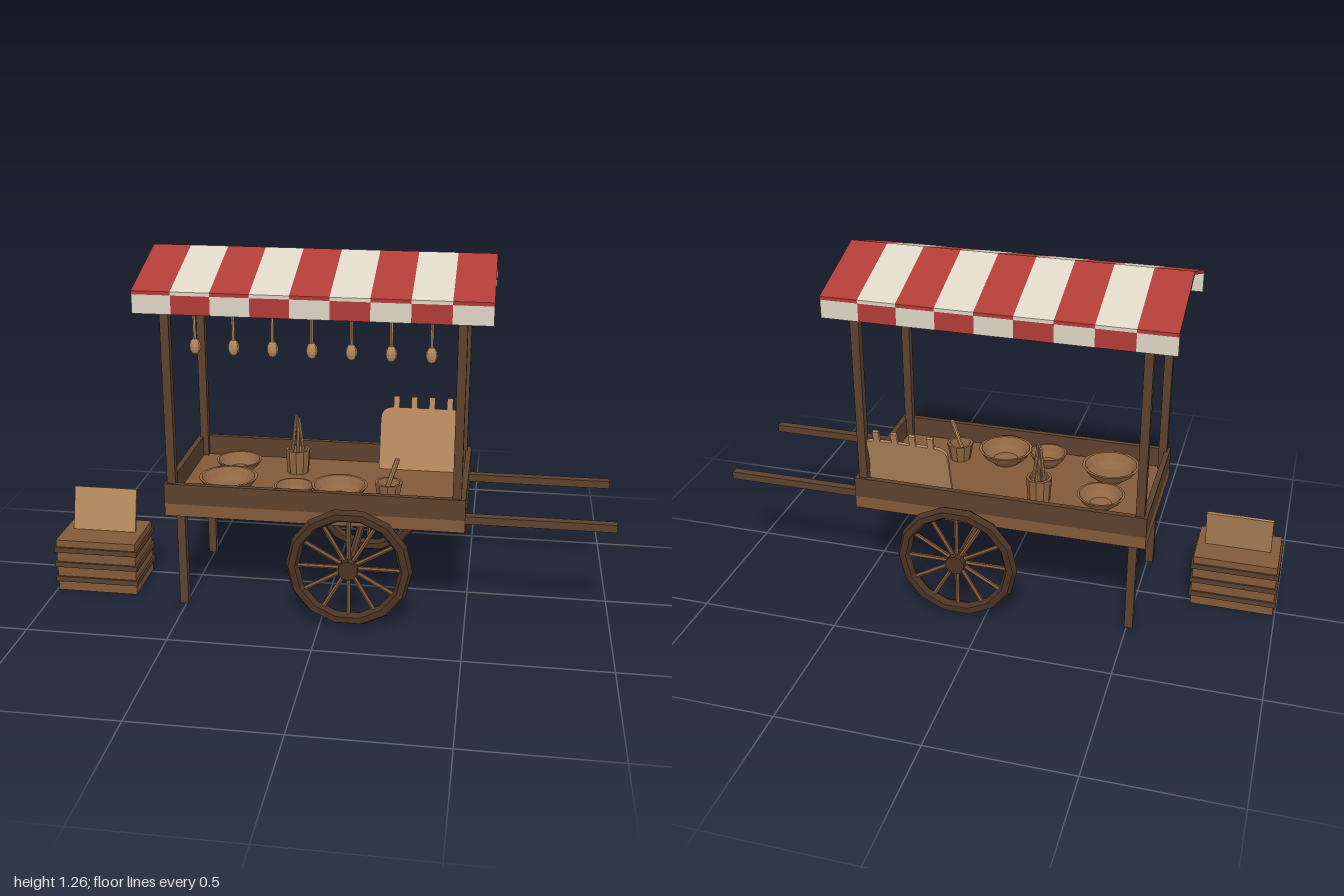
import * as THREE from 'three';

const mat = (name, color) => {
  const m = new THREE.MeshStandardMaterial({ color });
  m.name = name;
  return m;
};

export function createModel() {
  const dark = mat('dark wood', 0x5c412d);
  const rimWood = mat('rim wood', 0x4a3323);
  const wood = mat('brown wood', 0x835a39);
  const light = mat('light wood', 0xb5895d);
  const red = mat('red cloth', 0xb03c36);
  const cream = mat('cream cloth', 0xddd5c5);
  const inside = mat('bowl wood', 0x916642);
  inside.side = THREE.DoubleSide;

  const model = new THREE.Group();
  const group = (name, parent = model) => {
    const g = new THREE.Group();
    g.name = name;
    parent.add(g);
    return g;
  };
  const add = (name, geo, m, [x, y, z] = [0, 0, 0], parent = model) => {
    const mesh = new THREE.Mesh(geo, m);
    mesh.name = name;
    mesh.position.set(x, y, z);
    parent.add(mesh);
    return mesh;
  };
  // box given by its min and max corners
  const box = (name, m, a, b, parent = model) =>
    add(name, new THREE.BoxGeometry(b[0] - a[0], b[1] - a[1], b[2] - a[2]), m,
      a.map((v, i) => (v + b[i]) / 2), parent);
  const facet = (geo) => {
    const g = geo.index ? geo.toNonIndexed() : geo;
    g.computeVertexNormals();
    return g;
  };
  // round rod between two points
  const rod = (name, m, a, b, r, parent = model, sides = 8) => {
    const p = new THREE.Vector3(...a), d = new THREE.Vector3(...b).sub(p);
    const mesh = add(name, facet(new THREE.CylinderGeometry(r, r, d.length(), sides)), m,
      p.clone().addScaledVector(d, 0.5).toArray(), parent);
    mesh.quaternion.setFromUnitVectors(new THREE.Vector3(0, 1, 0), d.normalize());
    return mesh;
  };

  // cart bed with raised walls
  const bed = group('cartBed');
  box('bedBase', wood, [-0.555, 0.355, -0.262], [0.49, 0.4, 0.262], bed);
  for (const s of [-1, 1]) {
    add('sideWall', new THREE.BoxGeometry(1.045, 0.074, 0.02), dark, [-0.0325, 0.437, s * 0.252], bed);
    add('endWall', new THREE.BoxGeometry(0.02, 0.074, 0.484), dark, [-0.0325 + s * 0.5125, 0.437, 0], bed);
  }

  // legs, posts and push handles, mirrored front to back
  for (const s of [-1, 1]) {
    add('leg', new THREE.BoxGeometry(0.03, 0.355, 0.03), dark, [-0.507, 0.1775, s * 0.218], model);
    for (const x of [-0.53, 0.46])
      add('post', new THREE.BoxGeometry(0.03, 0.765, 0.03), dark, [x, 0.7825, s * 0.238]);
    add('pushHandle', new THREE.BoxGeometry(0.53, 0.028, 0.03), dark, [0.735, 0.38, s * 0.197]);
  }
  box('hangingBeam', dark, [-0.545, 1.145, 0.224], [0.475, 1.165, 0.258]);

  // wheels and axle
  const wheelY = 0.22, wheelX = 0.1;
  rod('axle', dark, [wheelX, wheelY, -0.33], [wheelX, wheelY, 0.33], 0.014);
  for (const s of [-1, 1]) {
    const wheel = group('wheel');
    wheel.position.set(wheelX, wheelY, s * 0.307);
    add('rim', facet(new THREE.TorusGeometry(0.197, 0.023, 6, 14)), rimWood, [0, 0, 0], wheel);
    rod('hub', rimWood, [0, 0, -0.03], [0, 0, 0.03], 0.035, wheel, 10);
    for (let i = 0; i < 12; i++) {
      const a = (i * Math.PI) / 6;
      rod('spoke', wood, [0.03 * Math.cos(a), 0.03 * Math.sin(a), 0],
        [0.185 * Math.cos(a), 0.185 * Math.sin(a), 0], 0.008, wheel, 6);
    }
  }

  // striped gable awning with a checked valance
  const awning = group('awning');
  const gable = new THREE.Shape([[-0.295, 1.152], [0, 1.25], [0.295, 1.152], [0.295, 1.164], [0, 1.262],
    [-0.295, 1.164]].map((p) => new THREE.Vector2(...p)));
  const x0 = -0.625, stripe = 1.183 / 9;
  for (let i = 0; i < 9; i++) {
    const x = x0 + i * stripe;
    const slab = new THREE.ExtrudeGeometry(gable, { depth: stripe, bevelEnabled: false });
    add('roofStripe', slab, i % 2 ? cream : red, [x, 0, 0], awning).rotation.y = Math.PI / 2;
    for (const s of [-1, 1])
      add('valanceFlap', new THREE.BoxGeometry(stripe, 0.068, 0.009), i % 2 ? red : cream,
        [x + stripe / 2, 1.121, s * 0.288], awning);
  }

  // ladles hanging along the front beam
  for (let i = 0; i < 7; i++) {
    const ladle = group('ladle');
    ladle.position.set(-0.43 + i * 0.1317, 0, 0.238);
    rod('ladleHandle', light, [0, 0.985, 0], [0, 1.15, 0], 0.006, ladle, 6);
    const bowl = add('ladleBowl', facet(new THREE.SphereGeometry(0.02, 10, 8)), light, [0, 0.968, 0], ladle);
    bowl.scale.set(1, 1.4, 0.7);
  }

  // open bowls on the bed
  const bowls = [[-0.36, 0.11, 0.105, 0.055], [-0.364, -0.09, 0.085, 0.045],
    [0.044, 0.132, 0.1, 0.055], [-0.115, 0.15, 0.07, 0.05]];
  for (const [x, z, r, h] of bowls) {
    const profile = [[0, 0.002], [0.5, 0.002], [0.82, 0.5], [1, 1], [0.9, 1], [0.72, 0.55], [0.45, 0.2], [0, 0.2]]
      .map(([u, v]) => new THREE.Vector2(u * r, v * h));
    add('bowl', facet(new THREE.LatheGeometry(profile, 16)), inside, [x, 0.4, z]);
  }

  // cup helper shared by the utensil holder and the mortar
  const cup = (name, x, z, r0, r1, h) => {
    const profile = [[0, 0.001], [r0, 0.001], [r1, h], [r1 - 0.01, h], [r0 - 0.01, h * 0.4], [0, h * 0.4]]
      .map((p) => new THREE.Vector2(...p));
    add(name, facet(new THREE.LatheGeometry(profile, 10)), inside, [x, 0.4, z]);
  };
  cup('utensilHolder', -0.145, -0.108, 0.04, 0.046, 0.09);
  for (let i = -1; i <= 1; i++)
    rod('utensil', light, [-0.145 + i * 0.028, 0.44, -0.108 + i * 0.016],
      [-0.145 + i * 0.008, 0.613, -0.108 + i * 0.016], 0.006);
  cup('mortar', 0.215, 0.11, 0.038, 0.05, 0.065);
  rod('pestle', light, [0.205, 0.43, 0.11], [0.245, 0.553, 0.11], 0.009);

  // leaning rounded rack board with pegs on top
  const rack = group('rackBoard');
  rack.position.set(0.305, 0.4, -0.18);
  rack.rotation.x = -0.26;
  const w = 0.155, h = 0.233, c = 0.045;
  const outline = new THREE.Shape();
  outline.moveTo(-w, 0).lineTo(w, 0).lineTo(w, h - c).quadraticCurveTo(w, h, w - c, h)
    .lineTo(-w + c, h).quadraticCurveTo(-w, h, -w, h - c);
  add('board', new THREE.ExtrudeGeometry(outline, { depth: 0.012, bevelEnabled: false, curveSegments: 4 }),
    light, [0, 0, -0.006], rack);
  for (let i = 0; i < 4; i++)
    add('peg', new THREE.BoxGeometry(0.022, 0.055, 0.012), light, [-0.098 + i * 0.066, 0.247, 0], rack);

  // slatted crate with a leaning panel
  const crate = group('crate');
  box('crateBody', wood, [-0.993, 0, -0.023], [-0.697, 0.2, 0.193], crate);
  for (const y of [0.047, 0.105, 0.163])
    box('crateSlat', dark, [-1, y - 0.01, -0.03], [-0.69, y + 0.01, 0.2], crate);
  const panel = add('crateSign', new THREE.BoxGeometry(0.236, 0.16, 0.01), light, [-0.843, 0.276, 0.061], crate);
  panel.rotation.x = -0.27;

  return model;
}
